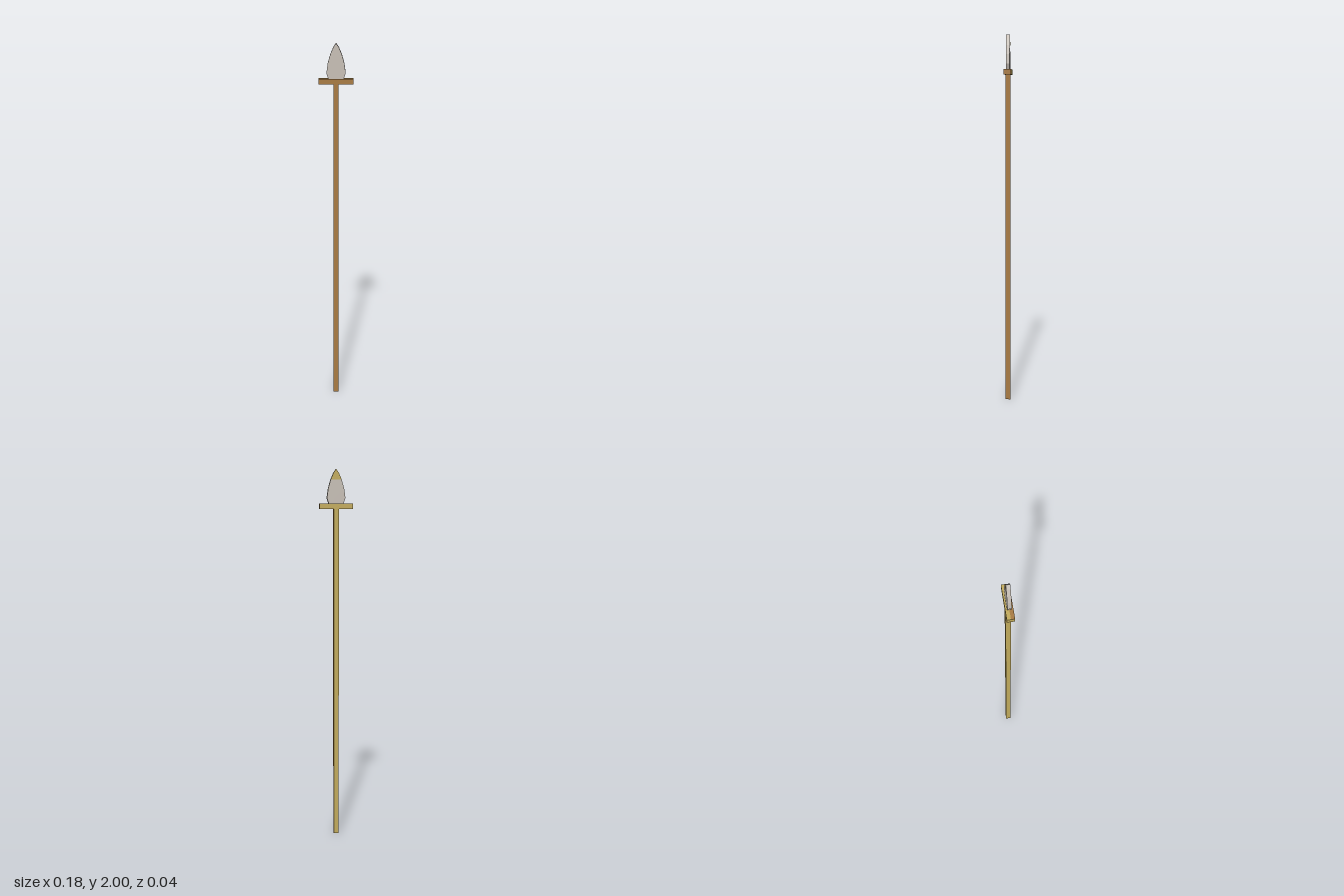
import * as THREE from 'three';

const mat = (name, color) => {
  const m = new THREE.MeshStandardMaterial({ color });
  m.name = name;
  return m;
};

export function createModel() {
  const brown = mat('brownWood', 0xa87a42);
  const gold = mat('goldenWood', 0xc2ab5c);
  const steel = mat('paleSteel', 0xc6beb5);
  const group = new THREE.Group();
  group.name = 'spear';

  const add = (name, geometry, material, x = 0, y = 0, z = 0) => {
    const mesh = new THREE.Mesh(geometry, material);
    mesh.name = name;
    mesh.position.set(x, y, z);
    group.add(mesh);
    return mesh;
  };

  // Square shaft, brown at the front and right, golden at the back and left
  add('shaft', new THREE.BoxGeometry(0.027, 1.8, 0.027),
    [brown, gold, brown, brown, brown, gold], 0, 0.9, 0);

  // Crossbar in two halves that meet along its middle
  const half = () => new THREE.BoxGeometry(0.177, 0.028, 0.019);
  add('crossbarFront', half(), [brown, gold, brown, brown, brown, brown], 0, 1.808, 0.0095);
  add('crossbarBack', half(), [brown, gold, gold, gold, gold, gold], 0, 1.808, -0.0095);

  // Leaf-shaped blade of even thickness
  const side = [[0.037, 1.815], [0.049, 1.85], [0.042, 1.9], [0.029, 1.945], [0.014, 1.98]];
  const outline = (points) => new THREE.Shape([
    ...points.map(([x, y]) => new THREE.Vector2(x, y)),
    new THREE.Vector2(0, 2),
    ...points.slice().reverse().map(([x, y]) => new THREE.Vector2(-x, y)),
  ]);
  add('blade', new THREE.ExtrudeGeometry(outline(side), { depth: 0.02, bevelEnabled: false }),
    steel, 0, 0, -0.01);

  // Golden tip on the back of the blade
  const tip = add('bladeTipBack', new THREE.ShapeGeometry(outline(side.slice(3))), gold, 0, 0, -0.0106);
  tip.rotation.y = Math.PI;

  return group;
}
